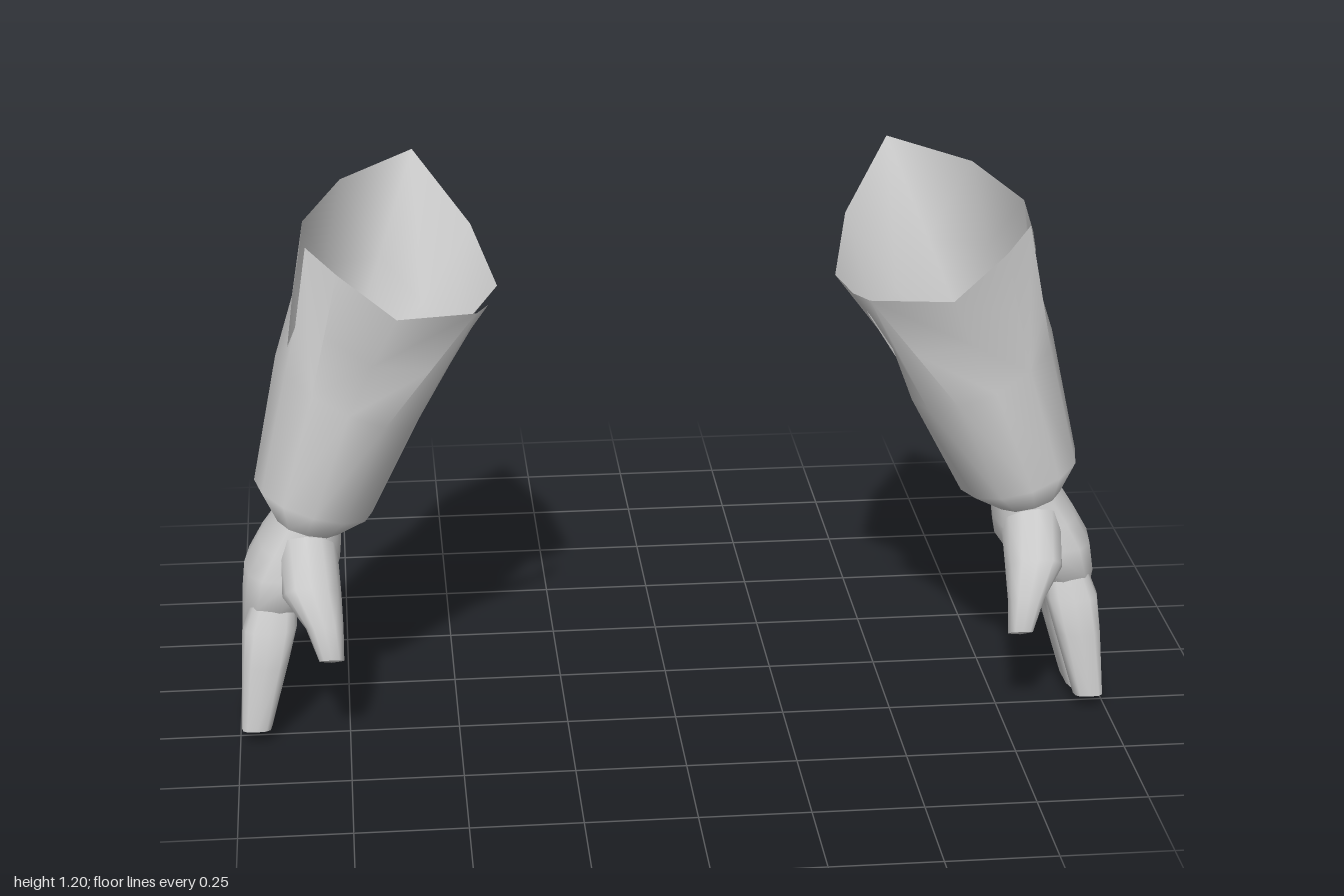
import * as THREE from 'three';
import { mergeVertices } from 'three/addons/utils/BufferGeometryUtils.js';

const N = 12; // columns around every ring: 0 outer, 3 front, 6 inner, 9 back

// Ring of points; tx / tz tilt it in height, p < 1 squares it off
function ring(cx, cy, cz, rx, rz, tx = 0, tz = 0, p = 1) {
  const bend = v => Math.sign(v) * Math.pow(Math.abs(v), p);
  return Array.from({ length: N }, (_, i) => {
    const a = (i / N) * Math.PI * 2;
    const c = bend(Math.round(Math.cos(a) * 1e6) / 1e6);
    const s = bend(Math.round(Math.sin(a) * 1e6) / 1e6);
    return [cx + rx * c, cy + tx * c + tz * s, cz + rz * s];
  });
}

// Triangles between two rings, listed from top to bottom
function band(tris, top, low, skip = []) {
  for (let i = 0; i < N; i++) {
    if (skip.includes(i)) continue;
    const j = (i + 1) % N;
    tris.push([top[i], top[j], low[i]], [top[j], low[j], low[i]]);
  }
}

function loft(tris, rings) {
  for (let k = 0; k < rings.length - 1; k++) band(tris, rings[k], rings[k + 1]);
}

function cap(tris, r, drop) {
  const mid = [0, 1, 2].map(k => r.reduce((s, p) => s + p[k], 0) / N);
  mid[1] -= drop;
  r.forEach((p, i) => tris.push([p, r[(i + 1) % N], mid]));
}

// Piece of a jagged side wall, triangulated in the side plane
function panel(tris, pts, dir) {
  const flat = pts.map(p => new THREE.Vector2(-p[2] * dir, p[1]));
  if (THREE.ShapeUtils.isClockWise(flat)) {
    flat.reverse();
    pts = [...pts].reverse();
  }
  for (const [a, b, c] of THREE.ShapeUtils.triangulateShape(flat, [])) {
    const ccw = THREE.ShapeUtils.area([flat[a], flat[b], flat[c]]) > 0;
    tris.push(ccw ? [pts[a], pts[b], pts[c]] : [pts[a], pts[c], pts[b]]);
  }
}

function makeMesh(name, tris, side, material) {
  const pos = [];
  for (const t of tris) {
    const order = side > 0 ? t : [t[0], t[2], t[1]];
    for (const p of order) pos.push(p[0] * side, p[1], p[2]);
  }
  let g = new THREE.BufferGeometry();
  g.setAttribute('position', new THREE.Float32BufferAttribute(pos, 3));
  g = mergeVertices(g, 1e-4);
  g.computeVertexNormals();
  const m = new THREE.Mesh(g, material);
  m.name = name;
  return m;
}

function makeGauntlet(side, material) {
  const group = new THREE.Group();
  group.name = side > 0 ? 'leftGauntlet' : 'rightGauntlet';
  const add = (name, tris) => group.add(makeMesh(name, tris, side, material));

  // Flared rim; columns 0 and 6 are the notch bottoms
  const rim = [
    [0.86, 0.9, 0.11], [0.812, 1.143, 0.143], [0.745, 1.105, 0.225],
    [0.617, 1.015, 0.28], [0.44, 1.0, 0.21], [0.41, 0.995, 0.14],
    [0.528, 0.81, 0.107], [0.385, 1.005, 0.04], [0.435, 1.09, -0.155],
    [0.56, 1.213, -0.353], [0.73, 1.205, -0.156], [0.817, 1.167, 0.03],
  ];
  const arm = ring(0.728, 0.78, 0.055, 0.161, 0.19, 0.08);
  // The forearm is flatter towards its inner back
  arm[7][0] += 0.01;
  arm[8][0] += 0.022;
  arm[8][2] += 0.015;
  const cuffEnd = ring(0.815, 0.53, 0.09, 0.133, 0.175, 0.045, 0.015);
  const wrist = ring(0.83, 0.483, 0.108, 0.076, 0.118, 0.022, 0.005, 0.85);

  // Halfway row, drawn inward at front and back for the flare
  const pull = { 3: -0.012, 8: 0.012, 9: 0.02, 10: 0.012 };
  const flare = rim.map((p, i) => p.map((v, k) => (v + arm[i][k]) / 2 + (k === 2 ? pull[i] || 0 : 0)));

  // Cuff: open sleeve with a torn notch on each side
  const cuff = [];
  const notched = [0, 1, 4, 5, 6, 11];
  band(cuff, rim, flare, notched);
  band(cuff, flare, arm, notched);
  const outFront = [0.84, 0.97, 0.18], outBack = [0.845, 1.0, 0.04];
  const inFront = [0.5, 0.87, 0.176], inBack = [0.468, 0.9, 0.03];
  const outer = [
    [rim[2], rim[1], [0.82, 1.07, 0.15], outFront, arm[1], arm[2]],
    [outFront, rim[0], arm[0], arm[1]],
    [rim[0], outBack, arm[11], arm[0]],
    [outBack, [0.835, 1.07, 0.095], [0.827, 1.114, 0.095], rim[11], arm[11]],
  ];
  const inner = [
    [rim[4], rim[5], [0.45, 0.945, 0.155], inFront, arm[5], arm[4]],
    [inFront, rim[6], arm[6], arm[5]],
    [rim[6], inBack, arm[7], arm[6]],
    [inBack, [0.44, 0.95, 0.066], rim[7], arm[7]],
  ];
  outer.forEach(p => panel(cuff, p, 1));
  inner.forEach(p => panel(cuff, p, -1));
  loft(cuff, [arm, cuffEnd, wrist]);
  add('cuff', cuff);

  // Hand and digits: rings as [cx, cy, cz, rx, rz, tx, tz, squareness]
  const parts = {
    palmAndJoinedFingers: [0.016, [
      [0.83, 0.483, 0.108, 0.076, 0.118, 0.022, 0.005, 0.85],
      [0.85, 0.435, 0.108, 0.094, 0.128, 0.01, 0, 0.72],
      [0.869, 0.385, 0.113, 0.109, 0.139, 0, 0, 0.7],
      [0.895, 0.32, 0.113, 0.09, 0.147, 0, 0, 0.7],
      [0.926, 0.25, 0.083, 0.062, 0.106, 0, 0, 0.68],
      [0.939, 0.17, 0.096, 0.054, 0.098, 0, 0, 0.65],
      [0.962, 0.025, 0.122, 0.035, 0.095, 0, -0.007, 0.65],
    ]],
    indexFinger: [0.004, [
      [0.905, 0.36, 0.195, 0.045, 0.035, 0, 0, 0.8],
      [0.923, 0.27, 0.225, 0.061, 0.046, 0, 0, 0.75],
      [0.937, 0.19, 0.246, 0.053, 0.044, 0, 0, 0.7],
      [0.962, 0.038, 0.272, 0.034, 0.031, 0, 0.003, 0.65],
    ]],
    thumb: [0.004, [
      [0.835, 0.43, 0.165, 0.07, 0.07, 0, 0.06],
      [0.825, 0.355, 0.262, 0.066, 0.047, 0, 0.04, 0.85],
      [0.799, 0.3, 0.315, 0.042, 0.037, 0, 0.016, 0.8],
      [0.786, 0.224, 0.329, 0.028, 0.029, 0, 0.015, 0.7],
    ]],
  };
  for (const [name, [drop, rows]] of Object.entries(parts)) {
    const tris = [];
    const rings = rows.map(r => ring(...r));
    loft(tris, rings);
    add(name, tris);
    const tip = [];
    cap(tip, rings[rings.length - 1], drop);
    add(name + 'Tip', tip);
  }
  return group;
}

export function createModel() {
  const model = new THREE.Group();
  model.name = 'gauntlets';
  const material = new THREE.MeshStandardMaterial({ color: 0xcccccc, side: THREE.DoubleSide });
  for (const side of [1, -1]) model.add(makeGauntlet(side, material));
  return model;
}
